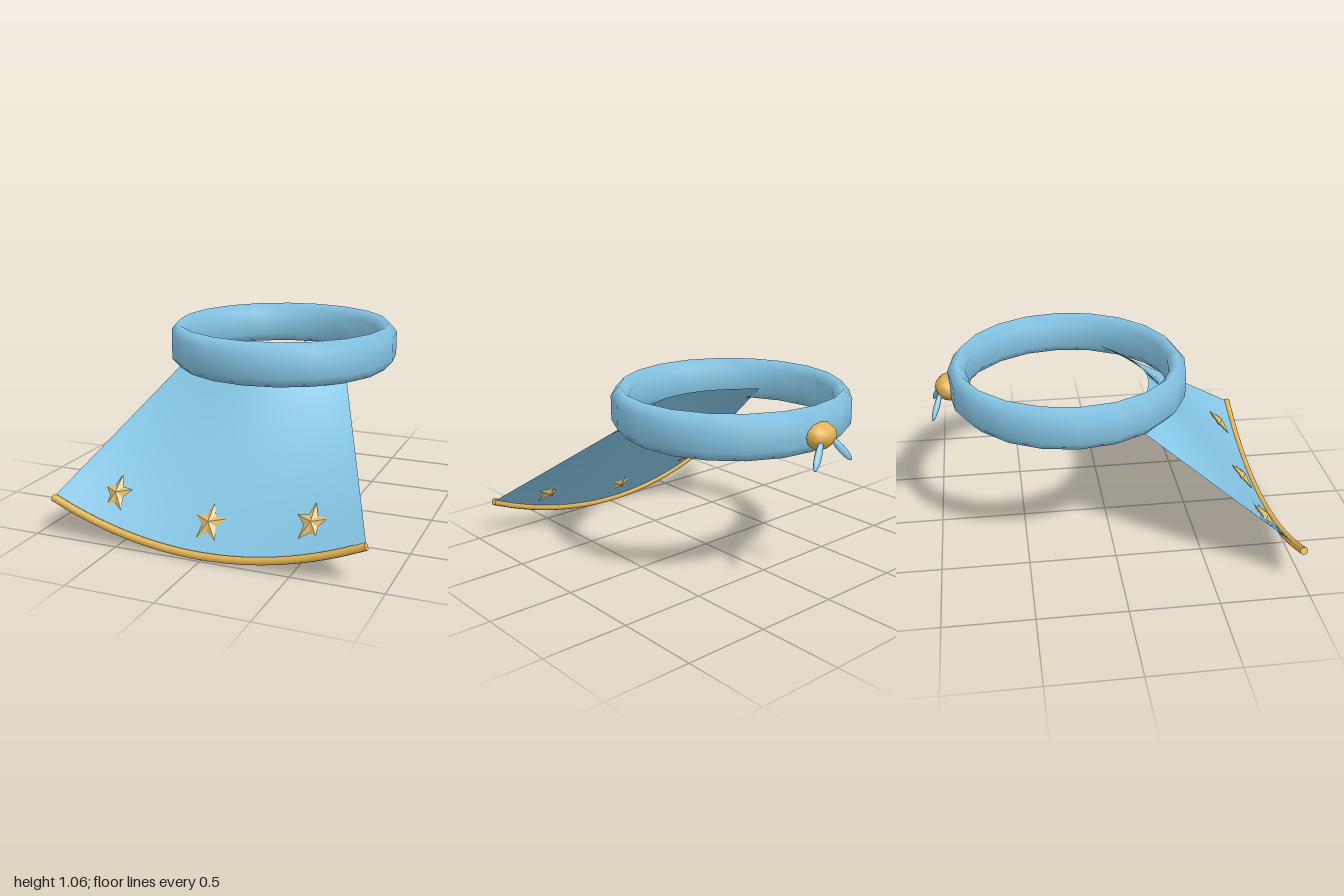
import * as THREE from 'three';
import { mergeVertices } from 'three/addons/utils/BufferGeometryUtils.js';

const material = (name, color, side = THREE.FrontSide) => {
  const m = new THREE.MeshStandardMaterial({ color, side });
  m.name = name;
  return m;
};

// Lower hem arc and upper neck arc of the cloth, s runs from -1 to 1
const hem = (s) => new THREE.Vector3(0.892 * s, 0.026 + 0.202 * s * s, 0.98);
const neck = (s) => new THREE.Vector3(0.465 * s, 0.9, 0.25 - 0.22 * s * s);

// Ruled surface between the two arcs
function clothGeometry() {
  const g = new THREE.PlaneGeometry(2, 1, 24, 8);
  const p = g.attributes.position;
  for (let i = 0; i < p.count; i++) {
    const s = p.getX(i);
    const v = hem(s).lerp(neck(s), p.getY(i) + 0.5);
    p.setXYZ(i, v.x, v.y, v.z);
  }
  g.computeVertexNormals();
  return g;
}

// Faceted band: closed six-sided section turned around the y axis
function bandGeometry() {
  const section = [[0, -0.126], [0.05, -0.07], [0.05, 0.07], [0, 0.126], [-0.05, 0.07], [-0.05, -0.07], [0, -0.126]];
  const lathe = new THREE.LatheGeometry(section.map(([x, y]) => new THREE.Vector2(0.63 + x, y)), 20);
  lathe.deleteAttribute('normal');
  lathe.deleteAttribute('uv');
  const g = mergeVertices(lathe, 1e-4);
  g.computeVertexNormals();
  return g;
}

// Five-pointed star with a raised centre on both sides
function starGeometry(outer, inner, height) {
  const rim = (i) => {
    const r = i % 2 ? inner : outer;
    const a = Math.PI / 2 + (i * Math.PI) / 5;
    return [r * Math.cos(a), r * Math.sin(a), 0];
  };
  const verts = [];
  for (let i = 0; i < 10; i++) {
    verts.push(...rim(i), ...rim(i + 1), 0, 0, height);
    verts.push(...rim(i + 1), ...rim(i), 0, 0, -height);
  }
  const g = new THREE.BufferGeometry();
  g.setAttribute('position', new THREE.Float32BufferAttribute(verts, 3));
  g.computeVertexNormals();
  return g;
}

export function createModel() {
  const model = new THREE.Group();
  const blue = material('skyBlue', 0x87c8e8);
  const clothBlue = material('clothBlue', 0x87c8e8, THREE.DoubleSide);
  const gold = material('gold', 0xe4b352);
  const starGold = material('paleGold', 0xdcbb6c);

  const add = (name, geometry, mat, x = 0, y = 0, z = 0) => {
    const mesh = new THREE.Mesh(geometry, mat);
    mesh.name = name;
    mesh.position.set(x, y, z);
    model.add(mesh);
    return mesh;
  };

  add('neckBand', bandGeometry(), blue, 0, 0.937, -0.215);
  add('bibCloth', clothGeometry(), clothBlue);

  // Gold piping along the hem, closed at both ends
  const points = [];
  for (let i = 0; i <= 12; i++) points.push(hem(i / 6 - 1));
  const path = new THREE.CatmullRomCurve3(points);
  add('hemTrim', new THREE.TubeGeometry(path, 32, 0.022, 8), gold);
  for (const end of [0, 1]) {
    const p = path.getPointAt(end);
    const dir = path.getTangentAt(end).multiplyScalar(end ? 1 : -1);
    const cap = add('hemTrimEnd', new THREE.CircleGeometry(0.022, 8), gold, p.x, p.y, p.z);
    cap.quaternion.setFromUnitVectors(new THREE.Vector3(0, 0, 1), dir);
  }

  // Stars lying on the cloth
  const star = starGeometry(0.09, 0.042, 0.025);
  for (const [x, y, z] of [[-0.565, 0.25, 0.85], [0, 0.17, 0.868], [0.565, 0.25, 0.85]]) {
    const mesh = add('star', star, starGold, x, y, z);
    mesh.rotation.x = -0.69;
    mesh.scale.y = 1.25;
  }

  // Knot and two ribbon tails at the back
  const knot = add('knot', new THREE.SphereGeometry(1, 8, 6), gold, 0, 0.912, -0.893);
  knot.scale.set(0.1, 0.075, 0.08);
  for (const side of [-1, 1]) {
    const tail = add('ribbonTail', new THREE.SphereGeometry(1, 8, 8), blue, 0.092 * side, 0.835, -0.966);
    tail.scale.set(0.024, 0.088, 0.017);
    const dir = new THREE.Vector3(0.055 * side, -0.068, -0.028).normalize();
    tail.quaternion.setFromUnitVectors(new THREE.Vector3(0, -1, 0), dir);
  }
  return model;
}
